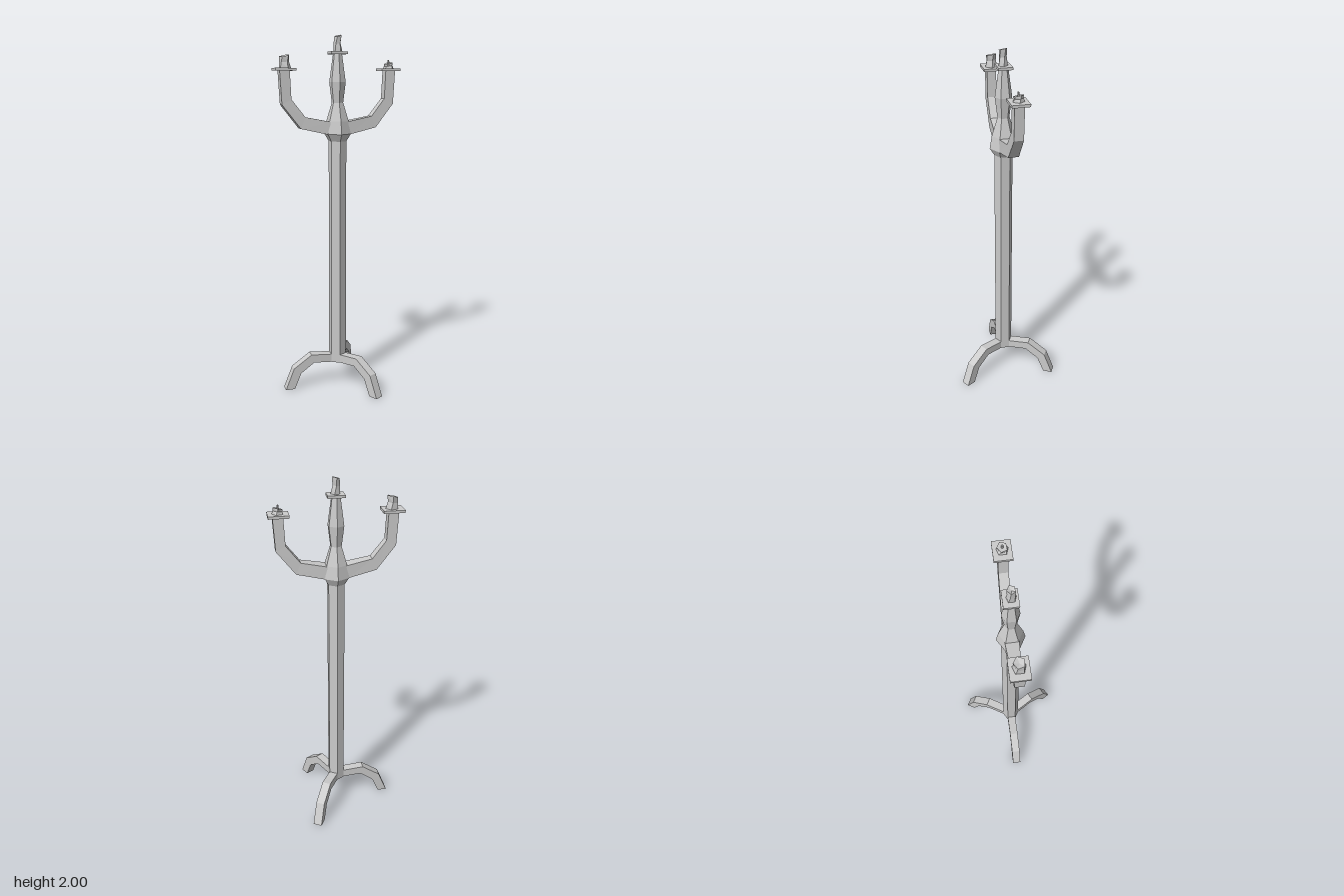
import * as THREE from 'three';

const material = new THREE.MeshStandardMaterial({ color: 0xcccccc, flatShading: true });

function addMesh(parent, name, geometry, x = 0, y = 0, z = 0) {
  const mesh = new THREE.Mesh(geometry, material);
  mesh.name = name;
  mesh.position.set(x, y, z);
  parent.add(mesh);
  return mesh;
}

// Bent rectangular bar along +x; each station is [topX, topY, underX, underY, halfWidth]
function barGeometry(stations) {
  const rings = stations.map(([tx, ty, ux, uy, w]) => [
    [tx, ty, w], [tx, ty, -w], [ux, uy, -w], [ux, uy, w],
  ]);
  const pos = [];
  const quad = (a, b, c, d) => pos.push(...a, ...b, ...c, ...a, ...c, ...d);
  for (let i = 0; i < rings.length - 1; i++) {
    for (let j = 0; j < 4; j++) {
      const k = (j + 1) % 4;
      quad(rings[i][j], rings[i + 1][j], rings[i + 1][k], rings[i][k]);
    }
  }
  const end = rings[rings.length - 1];
  quad(...rings[0]);
  quad(end[3], end[2], end[1], end[0]);
  const geometry = new THREE.BufferGeometry();
  geometry.setAttribute('position', new THREE.Float32BufferAttribute(pos, 3));
  geometry.computeVertexNormals();
  return geometry;
}

// Solid of revolution with few sides, from [radius, y] pairs
function turned(profile, sides) {
  return new THREE.LatheGeometry(profile.map(([r, y]) => new THREE.Vector2(r, y)), sides);
}

// Five-sided candle stub, twisted and sloped towards its top
function candleGeometry(r, h, twist, slope, lean) {
  const geometry = turned([[0, 0], [r, 0], [r * 0.8, h * 0.5], [r * 0.85, h], [0, h * 0.9]], 5);
  const p = geometry.attributes.position;
  for (let i = 0; i < p.count; i++) {
    const t = p.getY(i) / h;
    const a = 0.3 + twist * t;
    const x = p.getX(i) * Math.cos(a) + p.getZ(i) * Math.sin(a);
    const z = p.getZ(i) * Math.cos(a) - p.getX(i) * Math.sin(a);
    p.setXYZ(i, x + lean * Math.sin(t * Math.PI), p.getY(i) + slope * t * (x - 0.6 * z), z);
  }
  geometry.computeVertexNormals();
  return geometry;
}

export function createModel() {
  const model = new THREE.Group();
  model.name = 'candelabrum';

  // Hexagonal pole, flared hub and bulbous finial
  addMesh(model, 'pole', turned([
    [0, 0.138], [0.05, 0.138], [0.05, 1.43], [0.075, 1.47], [0.063, 1.54],
    [0.032, 1.64], [0.046, 1.75], [0.025, 1.9], [0, 1.9],
  ], 6));

  // Three bent legs
  const leg = barGeometry([
    [0.03, 0.185, 0.03, 0.138, 0.025],
    [0.165, 0.197, 0.15, 0.148, 0.025],
    [0.27, 0.125, 0.228, 0.092, 0.025],
    [0.32, 0, 0.267, 0, 0.025],
  ]);
  for (let i = 0; i < 3; i++) {
    addMesh(model, 'leg', leg).rotation.y = Math.PI / 3 + i * Math.PI * 2 / 3;
  }

  // Two upturned arms
  const arm = barGeometry([
    [0.05, 1.538, 0.06, 1.468, 0.036],
    [0.19, 1.565, 0.215, 1.503, 0.028],
    [0.265, 1.66, 0.317, 1.632, 0.025],
    [0.272, 1.812, 0.327, 1.812, 0.025],
  ]);
  addMesh(model, 'leftArm', arm);
  addMesh(model, 'rightArm', arm).rotation.y = Math.PI;

  // Square drip plates
  addMesh(model, 'rightPlate', new THREE.BoxGeometry(0.113, 0.014, 0.097), -0.297, 1.817, -0.001);
  addMesh(model, 'leftPlate', new THREE.BoxGeometry(0.109, 0.014, 0.093), 0.296, 1.817, -0.001);
  addMesh(model, 'centrePlate', new THREE.BoxGeometry(0.092, 0.014, 0.075), 0.002, 1.905, -0.001);

  // Candle stubs, the left one burnt low with a wick
  addMesh(model, 'rightCandle', candleGeometry(0.034, 0.064, 0.3, 0.2, -0.003), -0.293, 1.824, -0.001);
  addMesh(model, 'leftCandle', candleGeometry(0.031, 0.028, 0.4, 0.25, 0), 0.297, 1.824, 0);
  addMesh(model, 'leftWick', new THREE.CylinderGeometry(0.005, 0.006, 0.026, 6), 0.296, 1.856, 0);
  addMesh(model, 'centreCandle', candleGeometry(0.025, 0.082, 0.5, 0.25, -0.004), 0.002, 1.912, 0.003);

  return model;
}
